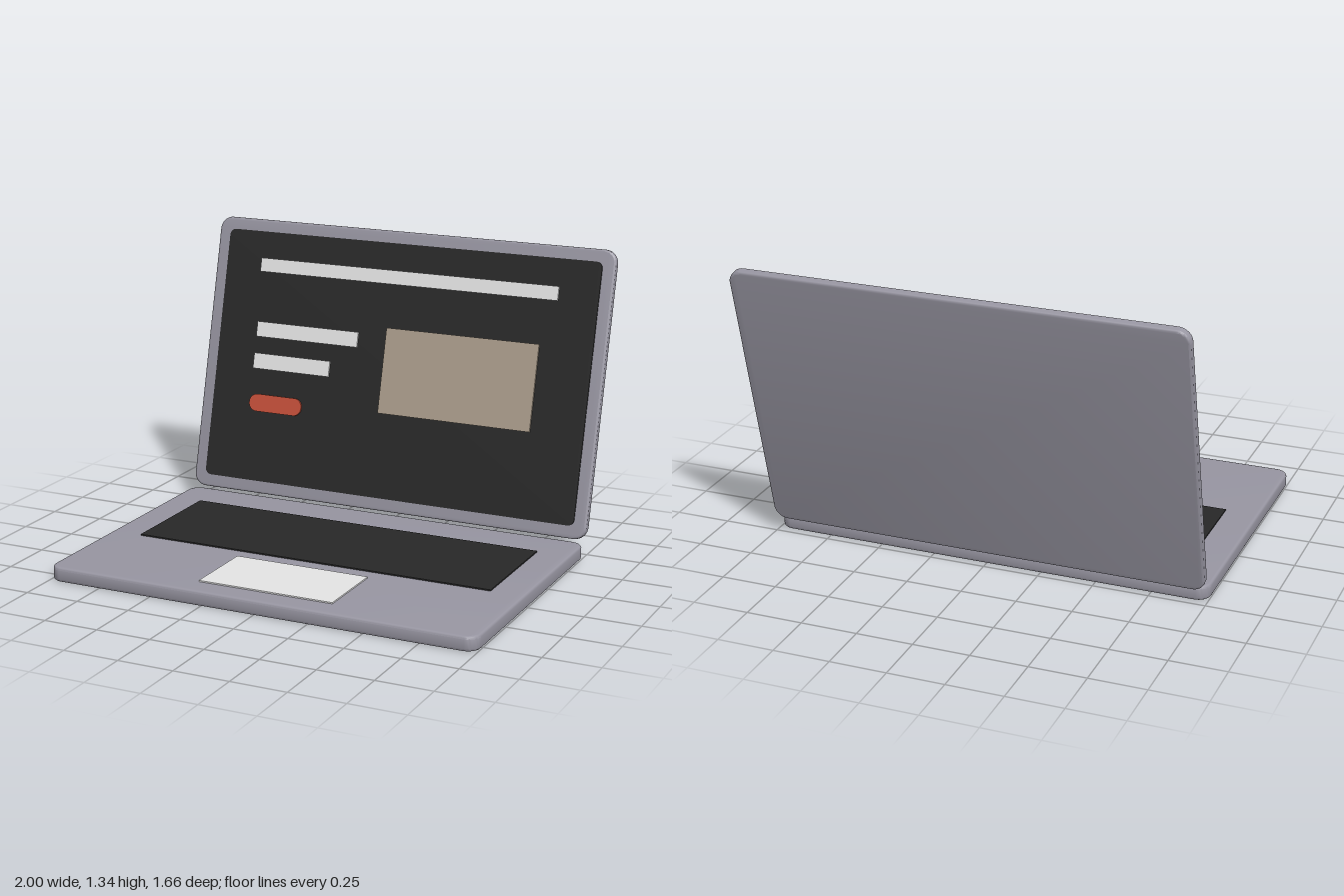
import * as THREE from 'three';
import { toCreasedNormals } from 'three/addons/utils/BufferGeometryUtils.js';

const material = (name, color) => {
  const m = new THREE.MeshStandardMaterial({ color });
  m.name = name;
  return m;
};

// Rounded rectangle centred on the origin
function roundedRect(w, h, r) {
  const x = w / 2, y = h / 2, s = new THREE.Shape();
  s.moveTo(-x + r, -y);
  s.lineTo(x - r, -y);
  s.absarc(x - r, -y + r, r, -Math.PI / 2, 0, false);
  s.lineTo(x, y - r);
  s.absarc(x - r, y - r, r, 0, Math.PI / 2, false);
  s.lineTo(-x + r, y);
  s.absarc(-x + r, y - r, r, Math.PI / 2, Math.PI, false);
  s.lineTo(-x, -y + r);
  s.absarc(-x + r, -y + r, r, Math.PI, Math.PI * 1.5, false);
  return s;
}

// Slab with rounded corners and soft rims, thickness t centred on z = 0
function slab(w, h, r, t, bevel) {
  const g = new THREE.ExtrudeGeometry(roundedRect(w - 2 * bevel, h - 2 * bevel, r - bevel), {
    depth: t - 2 * bevel, bevelEnabled: bevel > 0, bevelSize: bevel,
    bevelThickness: bevel, bevelSegments: 3, curveSegments: 6,
  });
  g.translate(0, 0, bevel - t / 2);
  return toCreasedNormals(g, 0.7);
}

export function createModel() {
  const metal = material('grey metal', 0x9795a1);
  const black = material('black glass', 0x272727);
  const white = material('pale grey', 0xe4e4e4);
  const tan = material('tan', 0xaa9c8b);
  const red = material('red', 0xc44f39);

  const model = new THREE.Group();
  model.name = 'laptop';

  const add = (parent, name, geometry, mat, x, y, z) => {
    const mesh = new THREE.Mesh(geometry, mat);
    mesh.name = name;
    mesh.position.set(x, y, z);
    parent.add(mesh);
    return mesh;
  };

  // Base lying flat, with keyboard and trackpad plates
  const base = new THREE.Group();
  base.name = 'base';
  model.add(base);
  add(base, 'baseBody', slab(2, 1.3, 0.06, 0.065, 0.012), metal, 0, 0.0325, 0.18).rotation.x = -Math.PI / 2;
  add(base, 'keyboard', new THREE.BoxGeometry(1.7, 0.006, 0.555), black, 0, 0.068, 0.018);
  add(base, 'trackpad', new THREE.BoxGeometry(0.63, 0.006, 0.35), white, 0, 0.068, 0.545);

  // Lid leaning back
  const lid = new THREE.Group();
  lid.name = 'lid';
  lid.position.set(0, 0.7025, -0.648);
  lid.rotation.x = -0.25;
  model.add(lid);
  add(lid, 'lidBody', slab(2, 1.305, 0.06, 0.04, 0.01), metal, 0, 0, 0);
  add(lid, 'screen', slab(1.88, 1.19, 0.03, 0.006, 0), black, 0, 0, 0.023);

  // Page shown on the screen: name, material, x, y, width, height
  const blocks = [
    ['titleBar', white, -0.002, 0.436, 1.505, 0.065],
    ['upperTextLine', white, -0.475, 0.129, 0.53, 0.072],
    ['lowerTextLine', white, -0.54, -0.023, 0.4, 0.074],
    ['picturePanel', tan, 0.309, 0, 0.755, 0.4],
  ];
  for (const [name, mat, x, y, w, h] of blocks) {
    add(lid, name, new THREE.BoxGeometry(w, h, 0.008), mat, x, y, 0.03);
  }
  add(lid, 'pageButton', slab(0.276, 0.083, 0.04, 0.009, 0), red, -0.602, -0.222, 0.0305);

  return model;
}
